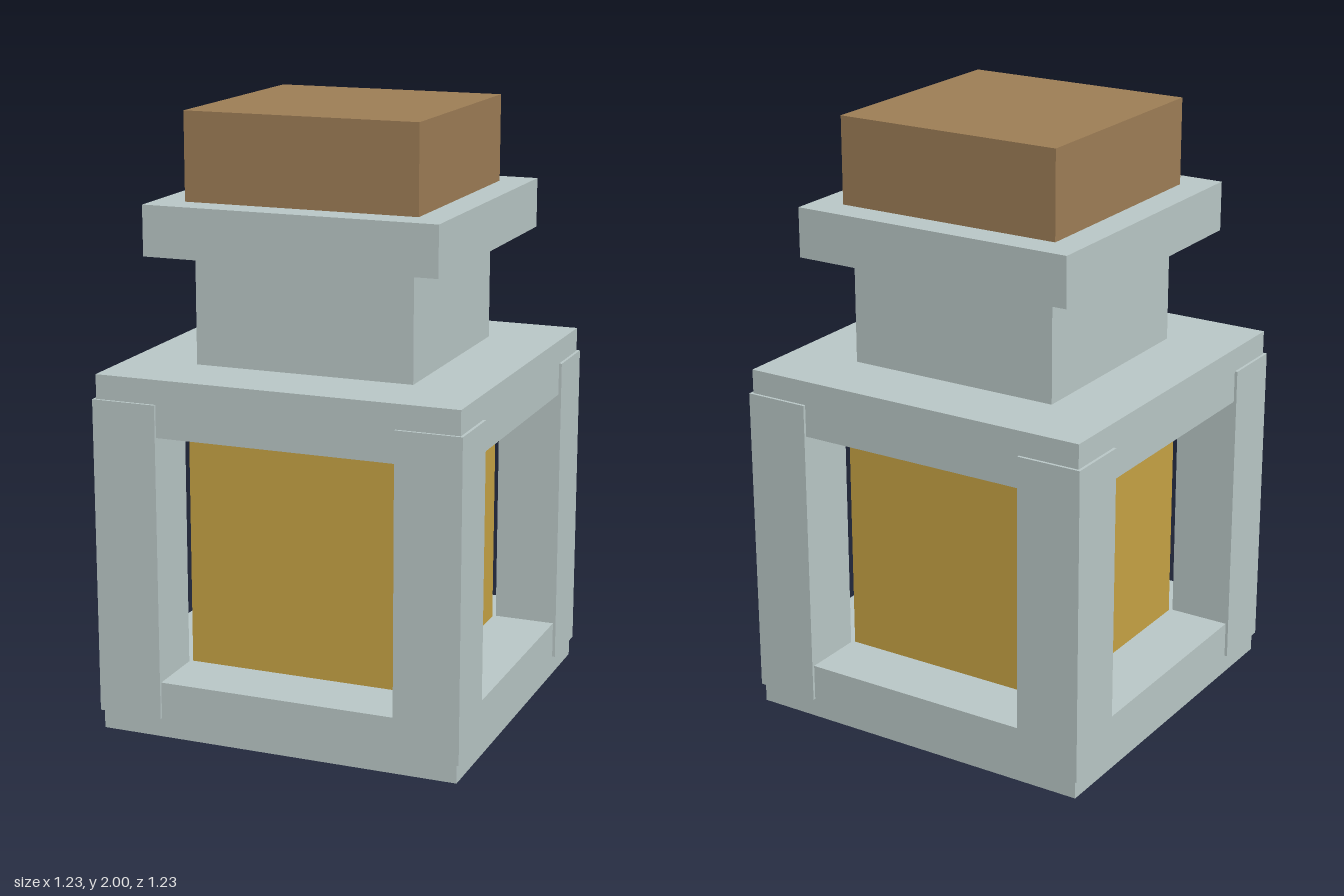
import * as THREE from 'three';

export function createModel() {
  const model = new THREE.Group();
  model.name = 'bottle';

  const material = (name, color) => {
    const m = new THREE.MeshStandardMaterial({ color });
    m.name = name;
    return m;
  };
  const glass = material('paleGlass', 0xbac8c7);
  const liquid = material('amberLiquid', 0xc7a344);
  const cork = material('brownCork', 0x9e7e56);

  // Square block of a given width, spanning y0 to y1
  const block = (name, mat, width, y0, y1, x = 0, z = 0) => {
    const mesh = new THREE.Mesh(new THREE.BoxGeometry(width, y1 - y0, width), mat);
    mesh.name = name;
    mesh.position.set(x, (y0 + y1) / 2, z);
    model.add(mesh);
  };

  // Body: base, liquid core and shoulder
  block('base', glass, 1.214, 0, 0.185);
  block('liquidCore', liquid, 0.78, 0.185, 1.0);
  block('shoulder', glass, 1.214, 1.0, 1.187);

  // Corner posts, standing slightly proud of the base and shoulder
  for (const [side, x] of [['Left', 0.508], ['Right', -0.508]]) {
    for (const [end, z] of [['front', 0.508], ['back', -0.508]]) {
      block(`${end}${side}Post`, glass, 0.217, 0.063, 1.107, x, z);
    }
  }

  // Neck, lip and stopper
  block('neck', glass, 0.736, 1.187, 1.55);
  block('lip', glass, 0.98, 1.55, 1.714);
  block('stopper', cork, 0.78, 1.714, 2.0);

  return model;
}
